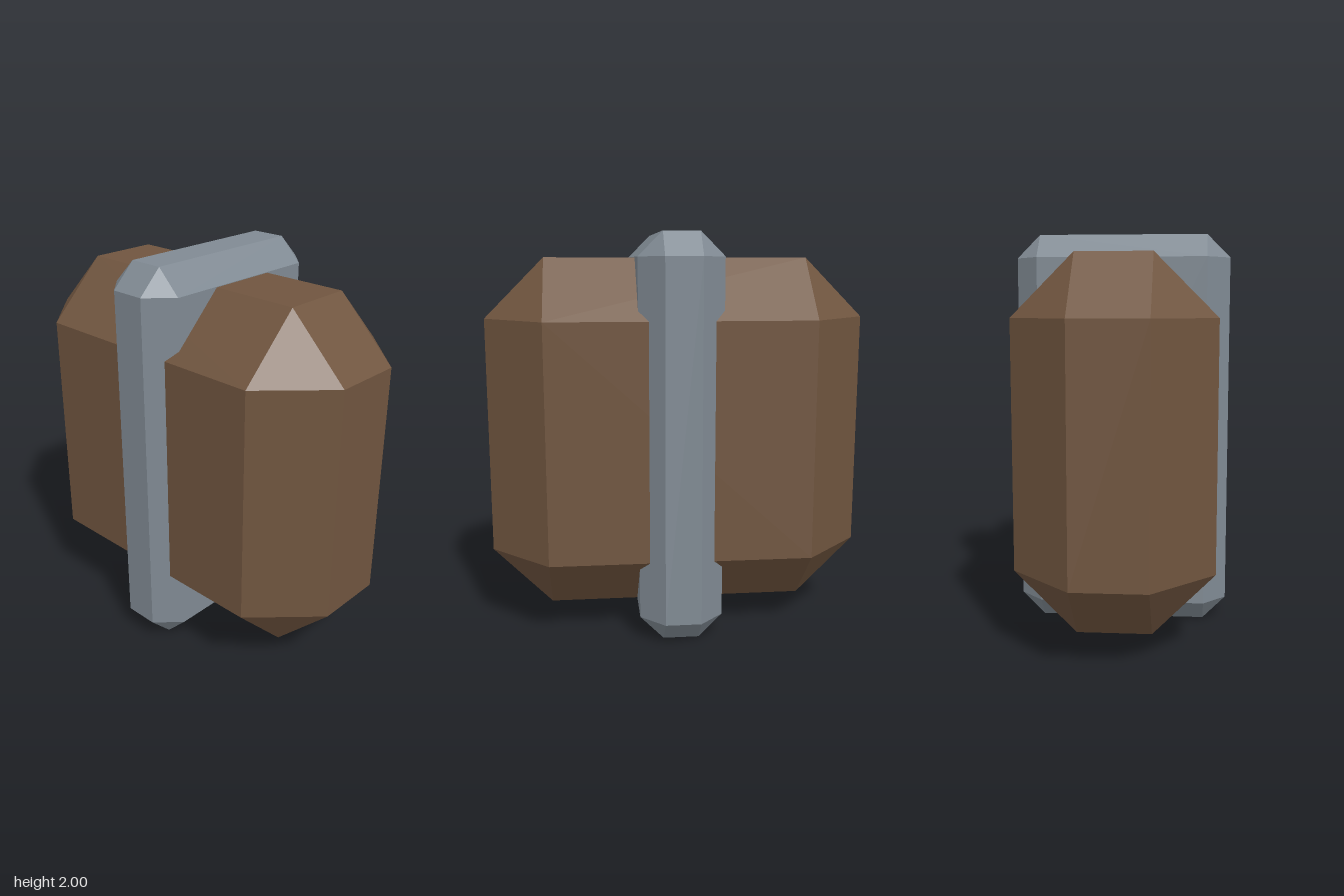
import * as THREE from 'three';
import { ConvexGeometry } from 'three/addons/geometries/ConvexGeometry.js';

// Box with every edge cut at 45 degrees; h = half extents, c = chamfer
function chamferedBox(name, h, c, color) {
  const points = [];
  for (const sx of [-1, 1]) for (const sy of [-1, 1]) for (const sz of [-1, 1]) {
    // three points per corner, each lying on one of the three main faces
    for (let axis = 0; axis < 3; axis++) {
      const [x, y, z] = h.map((v, i) => (i === axis ? v : v - c));
      points.push(new THREE.Vector3(sx * x, sy * y, sz * z));
    }
  }
  const material = new THREE.MeshStandardMaterial({ color, flatShading: true });
  const mesh = new THREE.Mesh(new ConvexGeometry(points), material);
  mesh.name = name;
  mesh.position.y = 1;
  return mesh;
}

export function createModel() {
  const model = new THREE.Group();
  model.name = 'bandedBlock';
  // wide wooden body
  model.add(chamferedBox('woodenBody', [0.94, 0.88, 0.47], 0.293, 0x70553f));
  // narrow metal band wrapped around the middle
  model.add(chamferedBox('metalBand', [0.205, 1, 0.54], 0.117, 0x808a93));
  return model;
}
